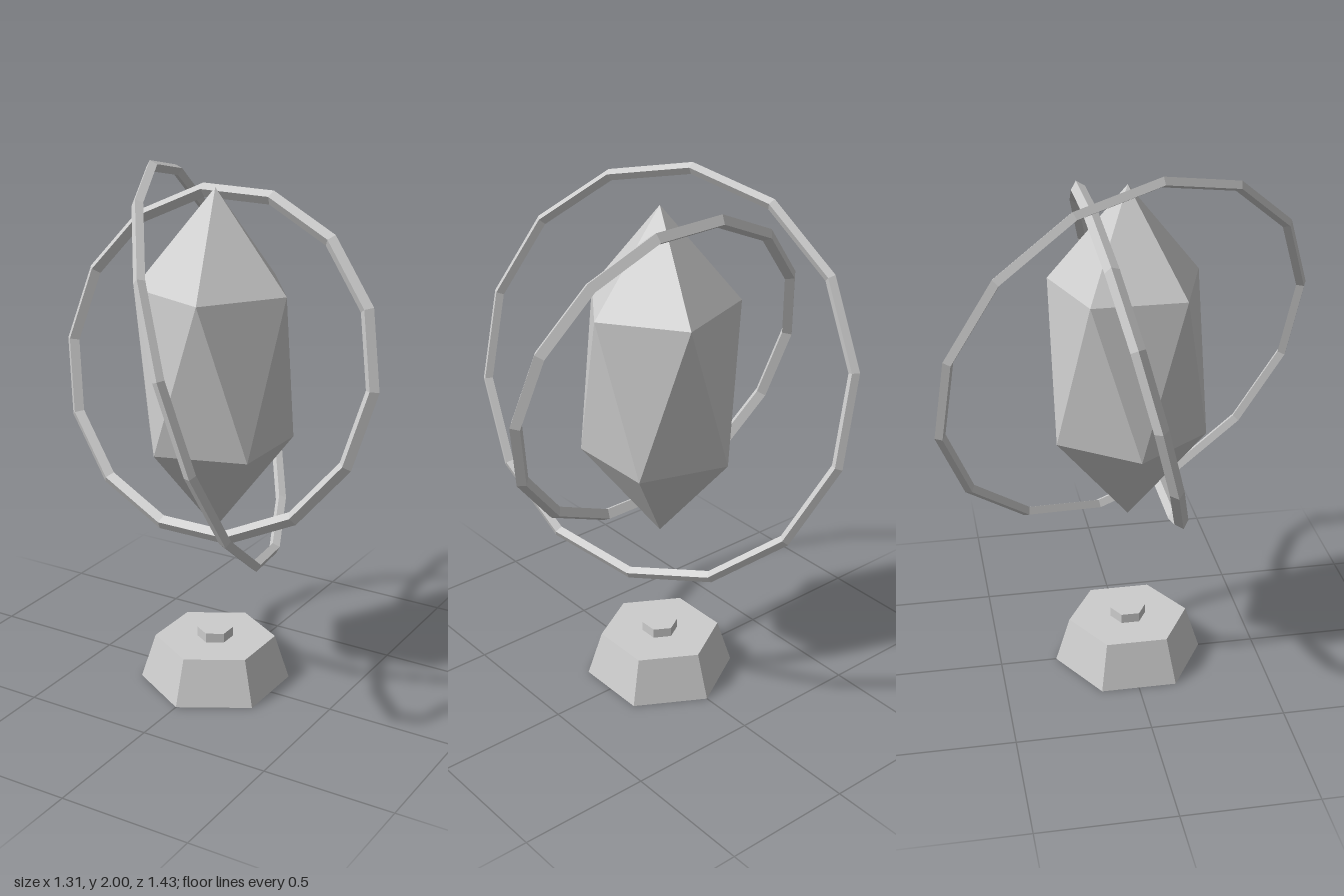
import * as THREE from 'three';

const CENTRE_Y = 1.27;

// Elongated twenty-sided gem: two apexes and two staggered rings of five points
function crystalGeometry(radius, halfHeight) {
  const ringY = halfHeight / Math.sqrt(5);
  const point = (i, y, offset) => {
    const a = (i * 2 * Math.PI) / 5 + offset;
    return [radius * Math.cos(a), y, radius * Math.sin(a)];
  };
  const upper = (i) => point(i, ringY, 0);
  const lower = (i) => point(i, -ringY, Math.PI / 5);
  const top = [0, halfHeight, 0];
  const bottom = [0, -halfHeight, 0];
  const positions = [];
  for (let i = 0; i < 5; i++) {
    positions.push(...top, ...upper(i + 1), ...upper(i));
    positions.push(...upper(i), ...upper(i + 1), ...lower(i));
    positions.push(...lower(i), ...upper(i + 1), ...lower(i + 1));
    positions.push(...bottom, ...lower(i), ...lower(i + 1));
  }
  const geometry = new THREE.BufferGeometry();
  geometry.setAttribute('position', new THREE.Float32BufferAttribute(positions, 3));
  geometry.computeVertexNormals();
  return geometry;
}

export function createModel() {
  const model = new THREE.Group();
  model.name = 'floatingCrystal';
  const stone = new THREE.MeshStandardMaterial({ color: 0xcccccc, flatShading: true });
  stone.name = 'pale grey';

  const add = (name, geometry, y) => {
    const mesh = new THREE.Mesh(geometry, stone);
    mesh.name = name;
    mesh.position.y = y;
    model.add(mesh);
    return mesh;
  };

  // Hexagonal pedestal with a small stud on top
  add('pedestal', new THREE.CylinderGeometry(0.23, 0.285, 0.175, 6), 0.0875);
  add('pedestalStud', new THREE.CylinderGeometry(0.068, 0.068, 0.04, 6), 0.192);

  // Hovering gem
  add('crystal', crystalGeometry(0.29, 0.643), CENTRE_Y);

  // Two tilted orbit rings with a diamond cross-section
  const innerRing = add('innerRing', new THREE.TorusGeometry(0.63, 0.026, 4, 14), CENTRE_Y);
  innerRing.rotation.set(-0.25, 0, 0);
  const outerRing = add('outerRing', new THREE.TorusGeometry(0.745, 0.021, 4, 14), CENTRE_Y);
  outerRing.rotation.set(0.73, -1.1, 0);

  return model;
}
